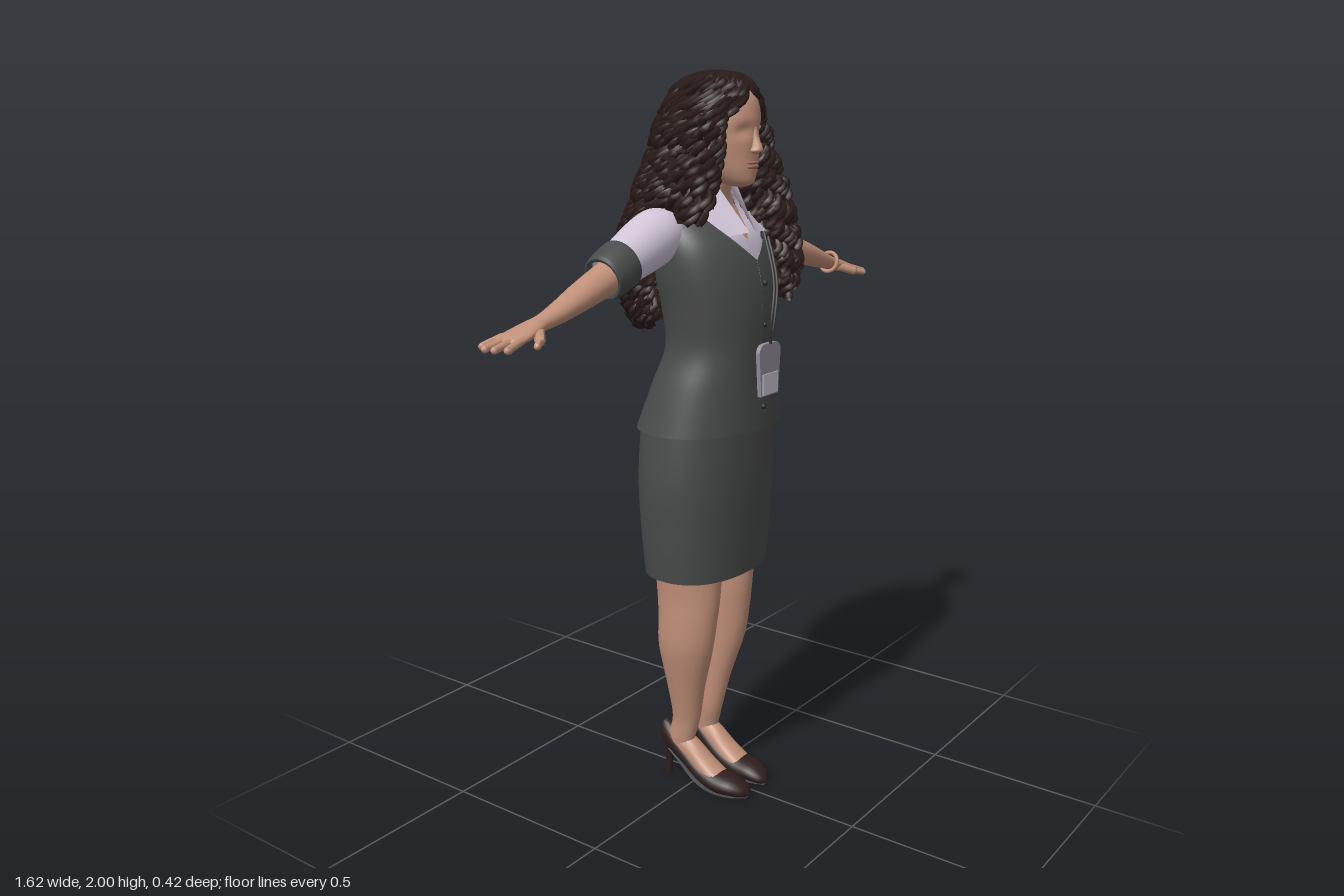
import * as THREE from 'three';
import { mergeGeometries } from 'three/addons/utils/BufferGeometryUtils.js';

const paint = (name, color, side = THREE.DoubleSide) => {
  const m = new THREE.MeshStandardMaterial({ color, side });
  m.name = name;
  return m;
};
const V = (x, y, z) => new THREE.Vector3(x, y, z);
const ramp = (x, a, b) => THREE.MathUtils.clamp((x - a) / (b - a), 0, 1);

let seed = 7;
const rnd = () => (seed = (seed * 16807) % 2147483647) / 2147483647;

// Surface through elliptical sections [along, centre1, centre2, radius1, radius2].
// Axis y uses (x, z), axis x uses (z, y), axis z uses (y, x) as the two centres.
function skin(rows, { axis = 'y', gap = null, power = 1, shear = 0 } = {}) {
  const splines = rows[0].map((_, k) =>
    new THREE.SplineCurve(rows.map((r, i) => new THREE.Vector2(i, r[k]))));
  const round = v => Math.sign(v) * Math.abs(v) ** power;
  return (t, u) => {
    const [s, c1, c2, r1, r2] = splines.map(c => c.getPoint(t).y);
    const g = gap ? gap(s) : 0;
    const a = g + u * (Math.PI * 2 - 2 * g);
    const d2 = Math.max(r2, 0) * round(Math.cos(a));
    const p = c1 + Math.max(r1, 0) * round(Math.sin(a)), q = c2 + d2, w = s + shear * d2;
    return axis === 'y' ? V(p, w, q) : axis === 'x' ? V(w, q, p) : V(q, p, w);
  };
}

function loft(rows, opts = {}, n = 32, m = rows.length * 4) {
  const f = skin(rows, opts), pos = [], idx = [], cols = opts.gap ? n + 1 : n;
  for (let i = 0; i <= m; i++)
    for (let j = 0; j < cols; j++) pos.push(...f(i / m, j / n).toArray());
  for (let i = 0; i < m; i++)
    for (let j = 0; j < n; j++) {
      const k = (j + 1) % cols, a = i * cols + j, b = i * cols + k;
      idx.push(a, b, b + cols, a, b + cols, a + cols);
    }
  const g = new THREE.BufferGeometry();
  g.setAttribute('position', new THREE.Float32BufferAttribute(pos, 3));
  g.setIndex(idx);
  g.computeVertexNormals();
  return g;
}

function mirrored(geo) {
  const g = geo.clone().scale(-1, 1, 1), ix = g.index.array;
  for (let i = 0; i < ix.length; i += 3) [ix[i], ix[i + 1]] = [ix[i + 1], ix[i]];
  g.computeVertexNormals();
  return g;
}

// Rounded rod between two points
function rod(a, b, r) {
  const d = b.clone().sub(a);
  const g = new THREE.CapsuleGeometry(r, d.length(), 4, 8);
  g.applyQuaternion(new THREE.Quaternion().setFromUnitVectors(V(0, 1, 0), d.normalize()));
  return g.translate(...a.clone().add(b).multiplyScalar(0.5).toArray());
}

// Curl that winds down a hair surface
class Curl extends THREE.Curve {
  constructor(f, u, t0, t1, amp) {
    super();
    Object.assign(this, { f, u, t0, t1, amp, phase: rnd() * 6.28, drift: (rnd() - 0.5) * 0.05 });
  }
  getPoint(s) {
    const u = THREE.MathUtils.clamp(this.u + this.drift * s, 0, 1);
    const p = this.f(THREE.MathUtils.lerp(this.t0, this.t1, s), u);
    const a = this.phase - p.y * 95, r = this.amp * Math.min(1, 0.25 + s * 2);
    return p.add(V(Math.cos(a) * r, Math.sin(a * 0.5) * r * 0.4, Math.sin(a) * r));
  }
}

export function createModel() {
  const model = new THREE.Group();
  const skinMat = paint('skin', 0xc08f78), hairMat = paint('hair', 0x2a1b19);
  const cloth = paint('charcoal cloth', 0x4a4b4b), shirtMat = paint('pale shirt', 0xcfc4d6);
  const shoeMat = paint('shoe leather', 0x2e1f1e), soleMat = paint('sole', 0x454447);
  const badgeMat = paint('badge grey', 0x918c97), cardMat = paint('badge card', 0xc4bfcb);
  const trim = paint('dark trim', 0x2b2b2d), lipMat = paint('lips', 0xa06a5c);

  const add = (name, geo, mat) => {
    const mesh = new THREE.Mesh(geo, mat);
    mesh.name = name;
    model.add(mesh);
  };
  const pair = (name, geo, mat) => {
    add('left' + name, geo, mat);
    add('right' + name, mirrored(geo), mat);
  };

  // Skirt and vest
  add('skirt', loft([[0.665, 0, 0.005, 0.198, 0.138], [0.8, 0, 0.005, 0.213, 0.145],
    [0.95, 0, 0.005, 0.22, 0.148], [1.12, 0, 0.005, 0.205, 0.142]], { power: 0.85 }, 48), cloth);
  add('skirtSlit', new THREE.BoxGeometry(0.006, 0.2, 0.006).translate(0, 0.768, -0.138), trim);
  add('vest', loft([[1.08, 0, 0.015, 0.226, 0.168], [1.2, 0, 0.035, 0.196, 0.145],
    [1.3, 0, 0.052, 0.166, 0.13], [1.4, 0, 0.05, 0.176, 0.135], [1.5, 0, 0.038, 0.192, 0.135],
    [1.58, 0, 0.022, 0.192, 0.122], [1.64, 0, -0.005, 0.17, 0.095], [1.68, 0, -0.02, 0.12, 0.065],
    [1.7, 0, -0.02, 0.07, 0.05]],
  { power: 0.9, gap: y => 0.001 + 0.75 * ramp(y, 1.53, 1.66) }, 48, 48), cloth);
  for (let i = 0; i < 4; i++)
    add('button', new THREE.SphereGeometry(0.008, 10, 8).translate(0.012, 1.14 + i * 0.11, 0.182), trim);

  // Shirt body, chest and collar
  add('shirtBody', loft([[1.45, 0, 0.04, 0.17, 0.122], [1.58, 0, 0.022, 0.178, 0.112],
    [1.64, 0, -0.002, 0.15, 0.088], [1.68, 0, 0, 0.09, 0.068], [1.73, 0, 0.012, 0.062, 0.058]],
  { power: 0.9, gap: y => 0.001 + 0.4 * ramp(y, 1.58, 1.7) }, 40), shirtMat);
  add('chest', loft([[1.5, 0, 0.03, 0.14, 0.105], [1.58, 0, 0.02, 0.15, 0.1], [1.64, 0, 0, 0.12, 0.076],
    [1.68, 0, 0.008, 0.07, 0.056], [1.73, 0, 0.025, 0.05, 0.05], [1.82, 0, 0.04, 0.05, 0.055]]), skinMat);
  const flap = new THREE.BufferGeometry();
  flap.setAttribute('position', new THREE.Float32BufferAttribute([0.07, 1.715, 0.02, 0.042, 1.715, 0.07,
    0.014, 1.6, 0.15, 0.088, 1.595, 0.138, 0.12, 1.65, 0.068], 3));
  flap.setIndex([0, 1, 2, 0, 2, 3, 0, 3, 4]);
  flap.computeVertexNormals();
  pair('Collar', flap, shirtMat);

  // Sleeves, cuffs, arms and hands
  pair('Sleeve', loft([[0.12, -0.015, 1.612, 0.055, 0.045], [0.18, -0.015, 1.6, 0.07, 0.066],
    [0.25, -0.015, 1.575, 0.068, 0.066], [0.33, -0.012, 1.545, 0.06, 0.057],
    [0.38, -0.01, 1.525, 0.056, 0.052]], { axis: 'x', shear: 0.3 }), shirtMat);
  pair('Cuff', loft([[0.335, -0.012, 1.54, 0.055, 0.052], [0.34, -0.012, 1.54, 0.064, 0.06],
    [0.405, -0.01, 1.514, 0.058, 0.055], [0.408, -0.01, 1.513, 0.046, 0.043]],
  { axis: 'x', shear: 0.35 }), cloth);
  const arm = [loft([[0.36, -0.01, 1.525, 0.045, 0.045], [0.42, -0.01, 1.505, 0.045, 0.041],
    [0.5, -0.004, 1.482, 0.04, 0.035], [0.58, 0, 1.457, 0.031, 0.027], [0.64, 0, 1.44, 0.025, 0.02],
    [0.68, -0.002, 1.429, 0.034, 0.019], [0.73, -0.005, 1.417, 0.042, 0.014],
    [0.752, -0.007, 1.412, 0.036, 0.01], [0.762, -0.007, 1.41, 0, 0]], { axis: 'x' }, 24)];
  [[-0.038, -0.05, 0.782], [-0.017, -0.022, 0.802], [0.005, 0.006, 0.8], [0.026, 0.032, 0.785]]
    .forEach(([z0, z1, x]) => arm.push(rod(V(0.73, 1.417, z0), V(x, 1.402, z1), 0.0095)));
  arm.push(rod(V(0.67, 1.425, 0.02), V(0.7, 1.413, 0.05), 0.013), rod(V(0.7, 1.413, 0.05), V(0.728, 1.407, 0.068), 0.009));
  arm.forEach(g => g.deleteAttribute('uv'));
  pair('Arm', mergeGeometries(arm), skinMat);
  add('bracelet', new THREE.TorusGeometry(0.029, 0.006, 8, 24).rotateY(Math.PI / 2)
    .rotateZ(-0.3).translate(0.636, 1.442, 0), skinMat);

  // Legs and feet
  pair('Leg', loft([[0.09, 0.058, -0.045, 0.026, 0.036], [0.14, 0.058, -0.04, 0.031, 0.042],
    [0.2, 0.056, -0.026, 0.035, 0.043], [0.3, 0.066, -0.02, 0.046, 0.058],
    [0.43, 0.08, -0.01, 0.06, 0.085], [0.52, 0.081, -0.002, 0.063, 0.092],
    [0.6, 0.079, 0, 0.065, 0.1], [0.75, 0.082, 0, 0.074, 0.11]], {}, 24), skinMat);
  pair('Foot', loft([[-0.085, 0.13, 0.058, 0.02, 0.015], [-0.05, 0.12, 0.058, 0.036, 0.027],
    [0, 0.095, 0.056, 0.042, 0.032], [0.05, 0.06, 0.055, 0.034, 0.037],
    [0.1, 0.035, 0.055, 0.024, 0.037], [0.14, 0.025, 0.055, 0.01, 0.02]], { axis: 'z' }, 20), skinMat);

  // High-heeled shoes
  pair('Shoe', loft([[-0.112, 0.135, 0.058, 0, 0], [-0.105, 0.137, 0.058, 0.034, 0.018],
    [-0.07, 0.118, 0.058, 0.04, 0.03], [-0.02, 0.083, 0.056, 0.034, 0.035],
    [0.04, 0.046, 0.056, 0.032, 0.042], [0.09, 0.031, 0.056, 0.031, 0.046],
    [0.14, 0.027, 0.053, 0.026, 0.042], [0.175, 0.018, 0.048, 0.016, 0.025],
    [0.19, 0.012, 0.045, 0, 0]], { axis: 'z' }, 24), shoeMat);
  pair('Sole', loft([[-0.09, 0.088, 0.058, 0.004, 0.014], [-0.04, 0.062, 0.057, 0.005, 0.026],
    [0.02, 0.02, 0.056, 0.006, 0.034], [0.08, 0.004, 0.056, 0.004, 0.038],
    [0.14, 0.004, 0.053, 0.004, 0.034], [0.18, 0.004, 0.047, 0.004, 0.012]], { axis: 'z' }, 16), soleMat);
  pair('Heel', loft([[0, 0.058, -0.09, 0.01, 0.011], [0.05, 0.058, -0.088, 0.01, 0.011],
    [0.09, 0.058, -0.083, 0.016, 0.018], [0.12, 0.058, -0.075, 0.024, 0.032]], {}, 14), shoeMat);

  // Head with shallow eye sockets
  const head = loft([[1.712, 0, 0.11, 0.005, 0.006], [1.722, 0, 0.1, 0.032, 0.045],
    [1.75, 0, 0.08, 0.055, 0.073], [1.79, 0, 0.067, 0.07, 0.088], [1.84, 0, 0.06, 0.081, 0.098],
    [1.89, 0, 0.055, 0.083, 0.104], [1.94, 0, 0.045, 0.074, 0.1], [1.975, 0, 0.04, 0.045, 0.06],
    [1.988, 0, 0.04, 0.003, 0.004]], {}, 40, 48);
  const hp = head.attributes.position;
  for (let i = 0; i < hp.count; i++) {
    const dx = (Math.abs(hp.getX(i)) - 0.034) / 0.02, dy = (hp.getY(i) - 1.855) / 0.016;
    if (hp.getZ(i) > 0.08) hp.setZ(i, hp.getZ(i) - 0.011 * Math.exp(-dx * dx - dy * dy));
  }
  head.computeVertexNormals();
  add('head', head, skinMat);
  add('nose', loft([[1.795, 0, 0.148, 0.004, 0.004], [1.803, 0, 0.155, 0.017, 0.02],
    [1.815, 0, 0.154, 0.014, 0.022], [1.84, 0, 0.153, 0.009, 0.012],
    [1.87, 0, 0.15, 0.007, 0.008]], {}, 16), skinMat);
  for (const [y, h] of [[1.775, 0.0055], [1.765, 0.007]])
    add('lip', new THREE.SphereGeometry(1, 16, 10).scale(0.025, h, 0.011).translate(0, y, 0.148), lipMat);

  // Hair: smooth masses covered with seeded curls
  const masses = [
    { name: 'hairBack', count: 135, amp: 0.013, opts: { gap: y => y > 1.62
      ? 1.15 * ramp(y, 1.965, 1.84) : 0.9 }, rows: [[1.34, 0, -0.12, 0.11, 0.03],
      [1.4, 0, -0.125, 0.155, 0.055], [1.5, 0, -0.125, 0.18, 0.068], [1.6, 0, -0.1, 0.182, 0.088],
      [1.7, 0, -0.04, 0.165, 0.125], [1.8, 0.005, -0.008, 0.138, 0.132], [1.9, 0.005, 0.015, 0.114, 0.123],
      [1.955, 0, 0.032, 0.085, 0.1], [1.982, 0, 0.04, 0.05, 0.06], [1.992, 0, 0.04, 0.004, 0.004]] },
    { name: 'hairLeftLock', count: 38, amp: 0.014, opts: {}, rows: [[1.41, 0.17, 0.135, 0.02, 0.015],
      [1.5, 0.175, 0.12, 0.058, 0.038], [1.6, 0.155, 0.1, 0.07, 0.055], [1.7, 0.135, 0.085, 0.055, 0.06],
      [1.8, 0.115, 0.07, 0.032, 0.052], [1.89, 0.09, 0.085, 0.018, 0.03], [1.94, 0.05, 0.11, 0.015, 0.015]] },
    { name: 'hairRightLock', count: 20, amp: 0.012, opts: {}, rows: [[1.63, -0.16, 0.055, 0.025, 0.03],
      [1.7, -0.14, 0.06, 0.04, 0.05], [1.8, -0.112, 0.07, 0.026, 0.045],
      [1.89, -0.09, 0.085, 0.016, 0.028], [1.94, -0.05, 0.11, 0.015, 0.015]] },
  ];
  for (const { name, count, amp, opts, rows } of masses) {
    add(name, loft(rows, opts, 36), hairMat);
    const f = skin(rows, opts), curls = [];
    for (let i = 0; i < count; i++) {
      const top = 0.99 - (i % 3) * 0.14 * rnd();
      const curl = new Curl(f, (i + rnd() * 0.6) / count, top, rnd() * 0.2 - 0.02 * (i % 2), amp);
      curl.t1 = Math.max(0, curl.t1);
      curls.push(new THREE.TubeGeometry(curl, 68, 0.0105, 4));
    }
    add(name + 'Curls', mergeGeometries(curls), hairMat);
  }

  // Lanyard and badge
  for (const dx of [0, 0.014])
    add('lanyard', new THREE.TubeGeometry(new THREE.CatmullRomCurve3([V(0.015, 1.31, 0.2),
      V(0.02 + dx, 1.38, 0.2), V(0.05 + dx, 1.47, 0.185), V(0.085 + dx, 1.62, 0.12)]), 24, 0.004, 6), trim);
  const holder = new THREE.Shape().absarc(0.04, 0.115, 0.025, 0, Math.PI / 2)
    .absarc(-0.01, 0.115, 0.025, Math.PI / 2, Math.PI).lineTo(-0.025, 0).lineTo(0.055, 0);
  add('badgeHolder', new THREE.ExtrudeGeometry(holder, { depth: 0.012, bevelEnabled: false })
    .translate(0, 1.173, 0.188), badgeMat);
  add('badgeCard', new THREE.BoxGeometry(0.07, 0.056, 0.004).translate(0.015, 1.205, 0.201), cardMat);
  return model;
}
